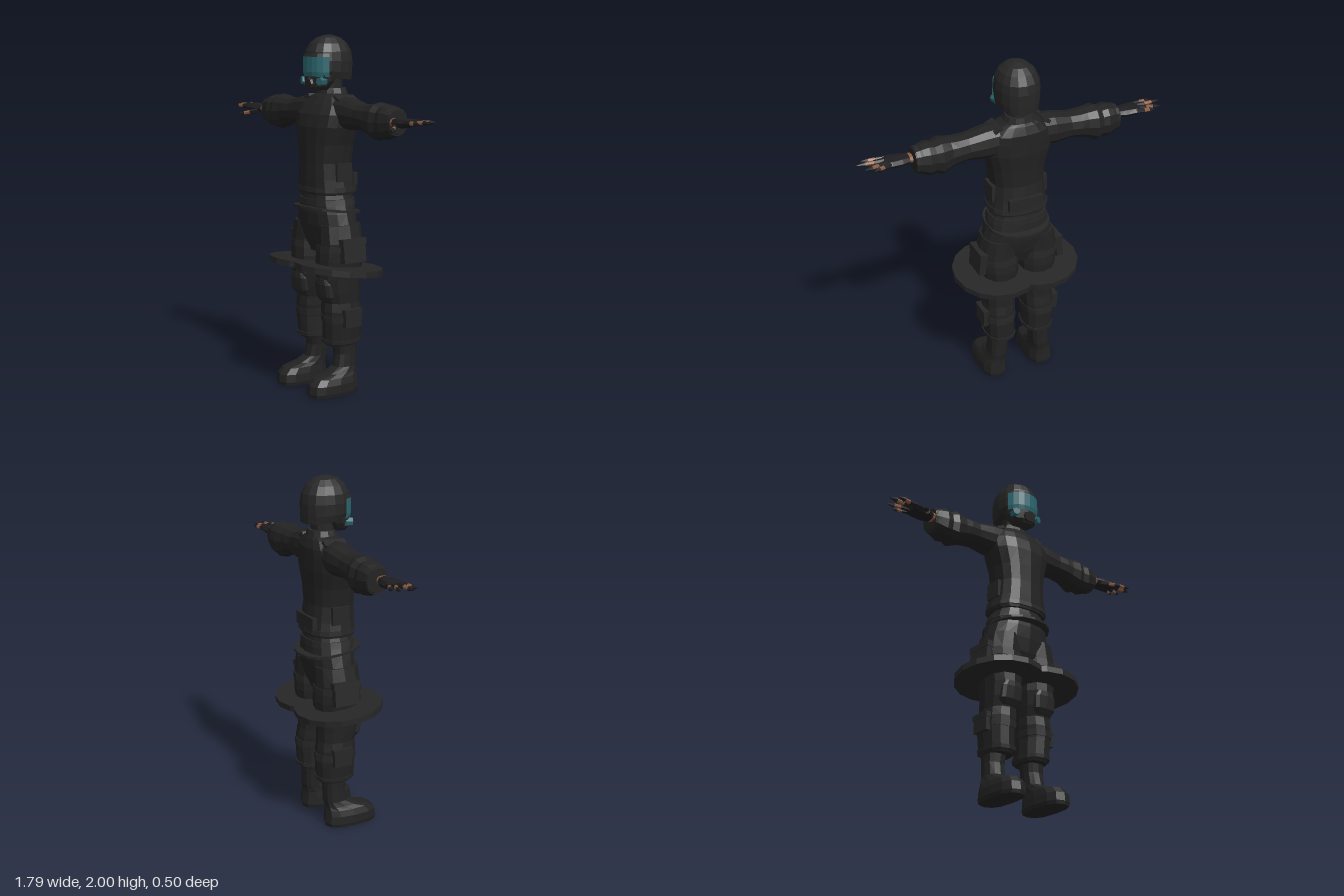
import * as THREE from 'three';

const mat = (name, color, side = THREE.FrontSide) =>
  new THREE.MeshStandardMaterial({ name, color, side, flatShading: true });

// Skin over oval sections [y, cx, cz, rx, rz, tilt]; p < 1 squares the oval off.
function loft(rings, { n = 14, p = 0.85, from = 0, to = Math.PI * 2, caps = true } = {}) {
  const pow = v => Math.sign(v) * Math.abs(v) ** p;
  const points = rings.map(([y, cx, cz, rx, rz, tilt = 0]) => Array.from({ length: n + 1 }, (_, j) => {
    const a = from + (to - from) * j / n;
    const z = rz * pow(Math.cos(a));
    return [cx + rx * pow(Math.sin(a)), y + tilt * z, cz + z];
  }));
  const out = [];
  const tri = (...corners) => corners.forEach(c => out.push(...c));
  for (let i = 0; i + 1 < rings.length; i++) for (let j = 0; j < n; j++) {
    const a = points[i][j], b = points[i][j + 1], c = points[i + 1][j + 1], d = points[i + 1][j];
    tri(a, b, c);
    tri(a, c, d);
  }
  if (caps) {
    const last = rings.length - 1;
    const mid = i => [rings[i][1], rings[i][0], rings[i][2]];
    for (let j = 0; j < n; j++) {
      tri(mid(0), points[0][j + 1], points[0][j]);
      tri(mid(last), points[last][j], points[last][j + 1]);
    }
  }
  const geo = new THREE.BufferGeometry();
  geo.setAttribute('position', new THREE.Float32BufferAttribute(out, 3));
  geo.computeVertexNormals();
  return geo;
}

// Same skin laid along +x; sections are [x, y, z, ry, rz]
const loftX = (rings, opt) =>
  loft(rings.map(([x, y, z, ry, rz]) => [x, -y, z, ry, rz]), opt).rotateZ(-Math.PI / 2);

// Tapered rod between two points
function rod(a, b, r0, r1, sides = 6) {
  const A = new THREE.Vector3(...a), B = new THREE.Vector3(...b);
  const dir = B.clone().sub(A);
  const geo = new THREE.CylinderGeometry(r1, r0, dir.length(), sides);
  geo.applyQuaternion(new THREE.Quaternion().setFromUnitVectors(new THREE.Vector3(0, 1, 0), dir.normalize()));
  const m = A.add(B).multiplyScalar(0.5);
  return geo.translate(m.x, m.y, m.z);
}

function box(w, h, d, x, y, z, rz = 0) {
  return new THREE.BoxGeometry(w, h, d).rotateZ(rz).translate(x, y, z);
}

// Copy reflected across x = 0, with corner order restored
function mirrored(source) {
  const geo = source.index ? source.toNonIndexed() : source.clone();
  const pos = geo.attributes.position;
  for (let i = 0; i < pos.count; i += 3) {
    const v = [0, 2, 1].map(k => [-pos.getX(i + k), pos.getY(i + k), pos.getZ(i + k)]);
    v.forEach((c, k) => pos.setXYZ(i + k, ...c));
  }
  geo.computeVertexNormals();
  return geo;
}

export function createModel() {
  const root = new THREE.Group();
  root.name = 'armouredFigure';
  const cloth = mat('cloth', 0x222223);
  const gear = mat('gear', 0x262627);
  const glove = mat('glove', 0x1e1e21);
  const visor = mat('visor', 0x2a666e, THREE.DoubleSide);
  const skin = mat('skin', 0x8a5a40);
  const add = (name, geo, material) => {
    const mesh = new THREE.Mesh(geo, material);
    mesh.name = name;
    root.add(mesh);
  };
  const pair = (name, geo, material) => {
    add(name + 'Left', geo, material);
    add(name + 'Right', mirrored(geo), material);
  };

  // Helmet, visor and breathing mask
  add('helmet', loft([
    [1.762, 0, -0.03, 0.108, 0.125, 0.1], [1.80, 0, -0.02, 0.118, 0.138, 0.05], [1.86, 0, -0.02, 0.12, 0.14],
    [1.91, 0, -0.02, 0.114, 0.132], [1.955, 0, -0.02, 0.094, 0.108], [1.985, 0, -0.02, 0.06, 0.07],
    [2.0, 0, -0.02, 0.02, 0.025],
  ], { n: 16, p: 0.92 }), gear);
  const arc = { n: 8, p: 0.92, from: -1.08, to: 1.08, caps: false };
  add('visor', loft([
    [1.775, 0, -0.02, 0.118, 0.138], [1.80, 0, -0.02, 0.123, 0.144], [1.885, 0, -0.02, 0.122, 0.143],
  ], arc), visor);
  add('visorBrow', loft([[1.883, 0, -0.02, 0.123, 0.145], [1.90, 0, -0.02, 0.118, 0.138]], arc), gear);
  add('mask', loft([
    [1.70, 0, 0.05, 0.055, 0.05], [1.72, 0, 0.05, 0.08, 0.06], [1.75, 0, 0.04, 0.098, 0.07],
    [1.785, 0, 0.03, 0.105, 0.08],
  ], { n: 12 }), gear);
  add('maskFilter', rod([0, 1.74, 0.09], [0, 1.735, 0.118], 0.038, 0.03, 8), gear);
  pair('maskVent', rod([0.07, 1.752, 0.06], [0.083, 1.75, 0.104], 0.027, 0.022, 6), visor);
  add('neck', loft([[1.62, 0, -0.04, 0.07, 0.065], [1.78, 0, -0.03, 0.065, 0.065]], { n: 10 }), cloth);

  // Jacket
  add('jacket', loft([
    [1.125, 0, -0.01, 0.165, 0.135], [1.15, 0, -0.01, 0.17, 0.14], [1.21, 0, -0.005, 0.16, 0.135],
    [1.30, 0, 0, 0.152, 0.128], [1.40, 0, -0.002, 0.165, 0.132], [1.50, 0, -0.008, 0.195, 0.138],
    [1.57, 0, -0.015, 0.20, 0.13], [1.62, 0, -0.03, 0.178, 0.115], [1.665, 0, -0.04, 0.125, 0.09],
    [1.68, 0, -0.045, 0.088, 0.078],
  ], { n: 16, p: 0.8 }), cloth);
  add('collar', loft([[1.65, 0, -0.045, 0.1, 0.085], [1.71, 0, -0.045, 0.078, 0.072]], { n: 12 }), gear);
  add('jacketHem', loft([[1.14, 0, -0.01, 0.175, 0.145], [1.165, 0, -0.01, 0.173, 0.143]], { n: 16, p: 0.8 }), gear);
  add('backPouch', box(0.2, 0.07, 0.03, 0, 1.2, -0.136), gear);
  pair('sidePouch', box(0.03, 0.1, 0.1, 0.152, 1.25, -0.01), gear);
  pair('shoulderStrap', box(0.05, 0.018, 0.13, 0.14, 1.655, -0.035, -0.45), gear);

  // Sleeves with bunched folds
  pair('sleeve', loftX([
    [0.13, 1.58, -0.03, 0.088, 0.088], [0.20, 1.575, -0.03, 0.088, 0.085], [0.30, 1.567, -0.025, 0.072, 0.075],
    [0.36, 1.563, -0.025, 0.075, 0.08], [0.40, 1.558, -0.025, 0.084, 0.08], [0.455, 1.552, -0.03, 0.102, 0.092],
    [0.49, 1.552, -0.03, 0.086, 0.078], [0.525, 1.552, -0.03, 0.094, 0.084], [0.56, 1.555, -0.03, 0.082, 0.074],
    [0.60, 1.556, -0.03, 0.064, 0.064],
  ], { n: 12 }), cloth);
  pair('cuff', loftX([[0.57, 1.556, -0.03, 0.076, 0.07], [0.595, 1.556, -0.03, 0.072, 0.066]], { n: 12 }), gear);

  // Hands: wrist, glove, then fingers of glove, skin and claw tip
  pair('wrist', loftX([[0.58, 1.558, -0.005, 0.024, 0.034], [0.63, 1.56, -0.005, 0.022, 0.034]], { n: 8 }), skin);
  pair('palm', loftX([
    [0.618, 1.558, -0.005, 0.025, 0.038], [0.66, 1.558, -0.005, 0.028, 0.05],
    [0.72, 1.562, -0.005, 0.024, 0.058], [0.75, 1.565, -0.005, 0.016, 0.055],
  ], { n: 8 }), glove);
  const fingers = [
    ['index', [0.735, 1.566, 0.032], [0.858, 1.568, 0.05]], ['middle', [0.74, 1.568, 0.006], [0.895, 1.572, 0.008]],
    ['ring', [0.74, 1.568, -0.022], [0.868, 1.572, -0.055]], ['little', [0.73, 1.565, -0.046], [0.825, 1.568, -0.077]],
    ['thumb', [0.645, 1.545, 0.03], [0.728, 1.522, 0.112]],
  ];
  for (const [name, a, b] of fingers) {
    const at = t => a.map((v, k) => v + (b[k] - v) * t);
    pair(name + 'Base', rod(at(0), at(0.4), 0.016, 0.013), glove);
    pair(name + 'Finger', rod(at(0.38), at(0.76), 0.012, 0.01), skin);
    pair(name + 'Tip', rod(at(0.7), at(1), 0.014, 0.002), glove);
  }

  // Trousers
  add('hips', loft([
    [0.80, 0, -0.01, 0.12, 0.09], [0.87, 0, -0.01, 0.2, 0.115], [0.95, 0, -0.012, 0.205, 0.13],
    [1.02, 0, -0.012, 0.185, 0.135], [1.08, 0, -0.01, 0.165, 0.13], [1.14, 0, -0.01, 0.145, 0.12],
  ], { n: 16 }), cloth);
  add('waistBelt', loft([[1.065, 0, -0.01, 0.176, 0.137], [1.10, 0, -0.01, 0.166, 0.135]], { n: 16 }), gear);
  add('slantedBelt', loft([[1.026, 0, -0.01, 0.185, 0.178, 0.12], [1.04, 0, -0.01, 0.185, 0.178, 0.12]], { n: 16 }), gear);
  pair('trouserLeg', loft([
    [0.27, 0.118, -0.025, 0.075, 0.095], [0.30, 0.12, -0.025, 0.085, 0.11], [0.40, 0.125, -0.025, 0.088, 0.115],
    [0.47, 0.122, -0.02, 0.094, 0.115], [0.52, 0.118, -0.018, 0.092, 0.108], [0.58, 0.116, -0.008, 0.098, 0.118],
    [0.66, 0.113, -0.005, 0.105, 0.13], [0.76, 0.117, -0.01, 0.112, 0.135], [0.86, 0.122, -0.01, 0.112, 0.128],
    [0.96, 0.11, -0.012, 0.1, 0.125],
  ], { n: 12 }), cloth);
  pair('ankleBand', loft([[0.285, 0.119, -0.025, 0.089, 0.114], [0.305, 0.12, -0.025, 0.091, 0.117]], { n: 12 }), gear);
  pair('shinBand', loft([[0.41, 0.124, -0.025, 0.094, 0.12], [0.445, 0.123, -0.022, 0.096, 0.12]], { n: 12 }), gear);
  pair('thighBand', loft([[0.81, 0.12, -0.01, 0.117, 0.136], [0.845, 0.122, -0.01, 0.116, 0.134]], { n: 12 }), gear);
  pair('kneePad', loft([
    [0.53, 0.118, 0.075, 0.05, 0.024], [0.56, 0.118, 0.085, 0.068, 0.034],
    [0.63, 0.115, 0.092, 0.068, 0.036], [0.66, 0.115, 0.1, 0.05, 0.026],
  ], { n: 10, p: 0.6 }), gear);
  pair('thighPocket', box(0.04, 0.115, 0.15, 0.238, 0.815, -0.015, 0.1), gear);
  pair('thighPocketFlap', box(0.046, 0.035, 0.16, 0.233, 0.872, -0.015, 0.1), gear);
  pair('shinPocket', box(0.035, 0.09, 0.11, 0.217, 0.43, -0.025), gear);
  pair('shinPocketFlap', box(0.042, 0.03, 0.12, 0.216, 0.473, -0.025), gear);

  // Two overlapping tilted discs around the thighs
  pair('thighDisc', new THREE.CylinderGeometry(0.252, 0.252, 0.034, 16)
    .rotateX(-0.11).translate(0.122, 0.71, 0), gear);

  // Boots
  pair('boot', loft([
    [0, 0.15, 0.06, 0.075, 0.155], [0.02, 0.15, 0.06, 0.08, 0.16], [0.065, 0.15, 0.06, 0.078, 0.155],
    [0.10, 0.147, 0.045, 0.07, 0.138], [0.12, 0.143, 0.005, 0.062, 0.098], [0.15, 0.138, -0.03, 0.056, 0.068],
    [0.22, 0.134, -0.037, 0.056, 0.062], [0.29, 0.13, -0.035, 0.06, 0.066],
  ], { n: 12, p: 0.75 }), cloth);
  return root;
}
